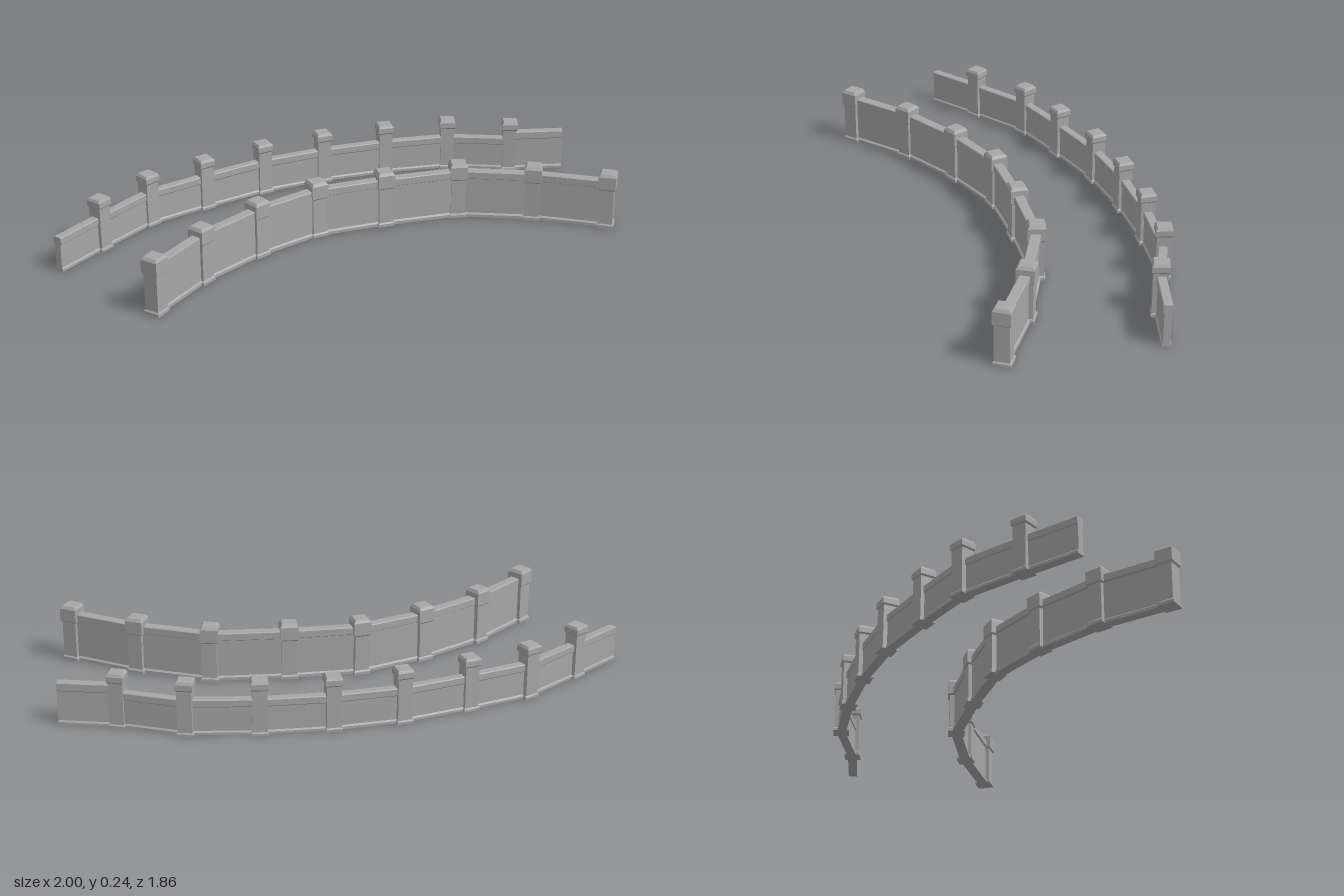
import * as THREE from 'three';

const stone = new THREE.MeshStandardMaterial({ color: 0xa6a6a6 });
stone.name = 'stone grey';

// Hard-edged normals for faceted parts
function faceted(geometry) {
  const g = geometry.index ? geometry.toNonIndexed() : geometry;
  g.computeVertexNormals();
  return g;
}

// Square post from [half width, height] pairs, bottom to top
function pillarGeometry(profile) {
  const points = [[0, 0], ...profile, [0, profile[profile.length - 1][1]]]
    .map(([w, y]) => new THREE.Vector2(w * Math.SQRT2, y));
  return faceted(new THREE.LatheGeometry(points, 4).rotateY(Math.PI / 4));
}

// Wall run: plinth, thin panel and coping extruded along +z
function wallGeometry(length, s) {
  const side = [[s.base, 0], [s.base, s.baseTop], [s.panel, s.baseTop + 0.006],
    [s.panel, s.copingY], [s.coping, s.copingY + 0.004], [s.coping, s.height - 0.003],
    [s.coping - 0.003, s.height]];
  const outline = [...side, ...side.map(([x, y]) => [-x, y]).reverse()];
  const shape = new THREE.Shape(outline.map(([x, y]) => new THREE.Vector2(x, y)));
  return faceted(new THREE.ExtrudeGeometry(shape, { depth: length, bevelEnabled: false }));
}

// Runs between neighbouring points, with pillars turned to the curve
function buildFence(name, path, style, openEnds) {
  const group = new THREE.Group();
  group.name = name;
  const post = pillarGeometry(style.pillar);
  const last = path.length - 1;
  path.forEach(([x, z], i) => {
    const before = path[Math.max(0, i - 1)], after = path[Math.min(last, i + 1)];
    if (!openEnds || (i > 0 && i < last)) {
      const pillar = new THREE.Mesh(post, stone);
      pillar.name = 'pillar';
      pillar.position.set(x, 0, z);
      pillar.rotation.y = Math.atan2(after[0] - before[0], after[1] - before[1]);
      group.add(pillar);
    }
    if (i === last) return;
    const dx = after[0] - x, dz = after[1] - z;
    const section = openEnds && i === last - 1 ? { ...style.wall, ...style.endWall } : style.wall;
    const wall = new THREE.Mesh(wallGeometry(Math.hypot(dx, dz), section), stone);
    wall.name = 'wallPanel';
    wall.position.set(x, 0, z);
    wall.rotation.y = Math.atan2(dx, dz);
    group.add(wall);
  });
  return group;
}

export function createModel() {
  const model = new THREE.Group();
  model.name = 'curvedWalls';

  // Taller inner wall, closed by a pillar at each end
  model.add(buildFence('innerWall', [
    [-0.48, 0.886], [-0.416, 0.597], [-0.295, 0.318], [-0.137, 0.073],
    [0.092, -0.11], [0.353, -0.29], [0.655, -0.366], [0.96, -0.395],
  ], {
    pillar: [[0.035, 0], [0.035, 0.012], [0.03, 0.018], [0.03, 0.168], [0.036, 0.174],
      [0.036, 0.228], [0.028, 0.24]],
    wall: { base: 0.022, baseTop: 0.012, panel: 0.015, copingY: 0.172, coping: 0.021, height: 0.206 },
  }, false));

  // Lower outer wall, its two ends left open
  model.add(buildFence('outerWall', [
    [-0.981, 0.708], [-0.912, 0.474], [-0.825, 0.205], [-0.67, -0.015], [-0.497, -0.24],
    [-0.295, -0.43], [-0.07, -0.6], [0.17, -0.745], [0.435, -0.815], [0.648, -0.91],
  ], {
    pillar: [[0.033, 0], [0.033, 0.01], [0.029, 0.015], [0.029, 0.188], [0.034, 0.194],
      [0.034, 0.216], [0.028, 0.226]],
    wall: { base: 0.019, baseTop: 0.01, panel: 0.014, copingY: 0.115, coping: 0.018, height: 0.147 },
    endWall: { copingY: 0.14, height: 0.176 },
  }, true));
  return model;
}
